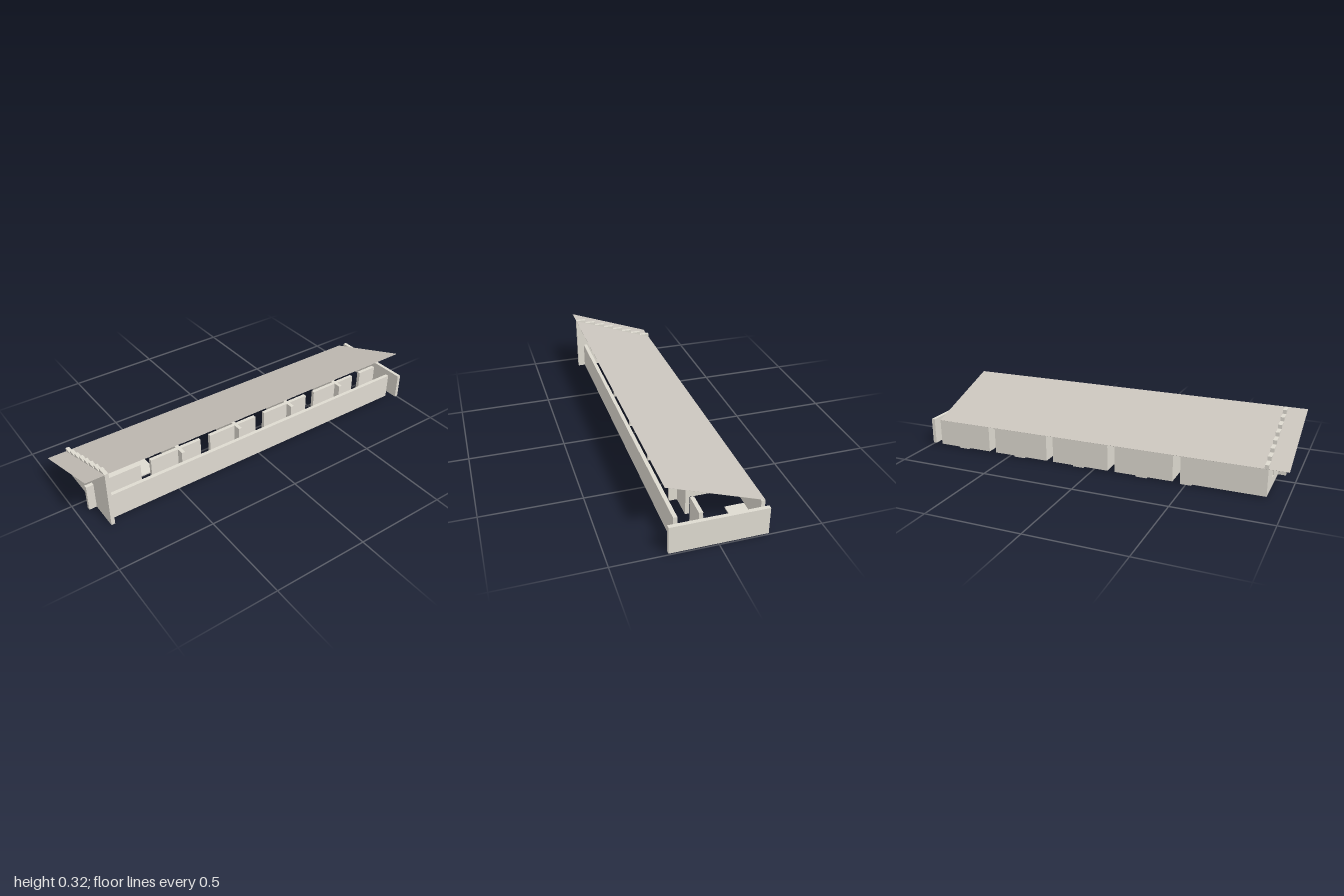
import * as THREE from 'three';

const U = 2 / 34;            // one grid unit; the building is 34 long and 8 wide
const T = U / 3;             // wall thickness
const BASE = 0.007, WALL_TOP = 0.148, RIDGE = 0.316, HALF = 4 * U;
const zAt = (k) => 1 - k * U; // k units back from the front roof edge

export function createModel() {
  const model = new THREE.Group();
  const wallMaterial = new THREE.MeshStandardMaterial({ color: 0xdedad0 });
  const roofMaterial = new THREE.MeshStandardMaterial({ color: 0xcac5bd });

  const add = (name, geometry, material = wallMaterial) => {
    const mesh = new THREE.Mesh(geometry, material);
    mesh.name = name;
    model.add(mesh);
    return mesh;
  };
  // box from x0 to x1 and from k0 to k1 along the building
  const block = (name, x0, x1, k0, k1, y0 = BASE, y1 = WALL_TOP) =>
    add(name, new THREE.BoxGeometry(x1 - x0, y1 - y0, (k1 - k0) * U))
      .position.set((x0 + x1) / 2, (y0 + y1) / 2, zAt((k0 + k1) / 2));

  // stepped gable wall with a window
  const gable = new THREE.Shape();
  gable.moveTo(HALF, BASE);
  for (let i = 7; i >= 0; i--) {
    const top = WALL_TOP + (RIDGE - WALL_TOP) * (i + 1) / 8;
    gable.lineTo(-HALF + (i + 1) * U, top);
    gable.lineTo(-HALF + i * U, top);
  }
  gable.lineTo(-HALF, BASE);
  gable.closePath();
  const hole = new THREE.Path();
  hole.moveTo(-0.105, 0.057);
  hole.lineTo(-0.105, 0.114);
  hole.lineTo(-0.075, 0.114);
  hole.lineTo(-0.075, 0.057);
  hole.closePath();
  gable.holes.push(hole);
  add('gableWall', new THREE.ExtrudeGeometry(gable, { depth: T, bevelEnabled: false }))
    .position.z = zAt(2);

  // thin sloping roof
  const roof = new THREE.BoxGeometry(Math.hypot(2 * HALF, RIDGE - WALL_TOP), 0.001, 33 * U);
  roof.rotateZ(Math.atan2(RIDGE - WALL_TOP, 2 * HALF));
  add('roof', roof, roofMaterial).position.set(0, (WALL_TOP + RIDGE) / 2, zAt(16.5));

  // corridor wall, set in from the gable edge, and free-standing back wall
  block('corridorWall', 3 * U, 3 * U + T, 2, 33);
  block('backWall', -HALF, HALF, 34 - 1 / 3, 34);

  // outer room wall, with a slit in front of every cross wall
  block('roomWall', -HALF, -HALF + T, 2, 9);
  for (let k = 9; k < 33; k += 6) {
    block('roomWall', -HALF, -HALF + T, k + 2 / 3, k + 6);
    block('crossWall', -HALF + T, 2 * U, k + 2 / 3, k + 1);
  }

  // inner wall, starting as a fin in front, with a doorway per room
  let start = 1;
  for (let door = 6; door <= 30; door += 6) {
    block('innerWall', U, U + T, start, door);
    start = door + 1;
  }
  block('innerWall', U, U + T, start, 33);

  // low floor plates
  block('frontFloorPlate', -3 * U, 0, 3, 8, 0, BASE);
  for (const k of [8, 12, 18, 24, 30]) block('floorPlate', -HALF, -2 * U, k, k + 1, 0, BASE);

  return model;
}
